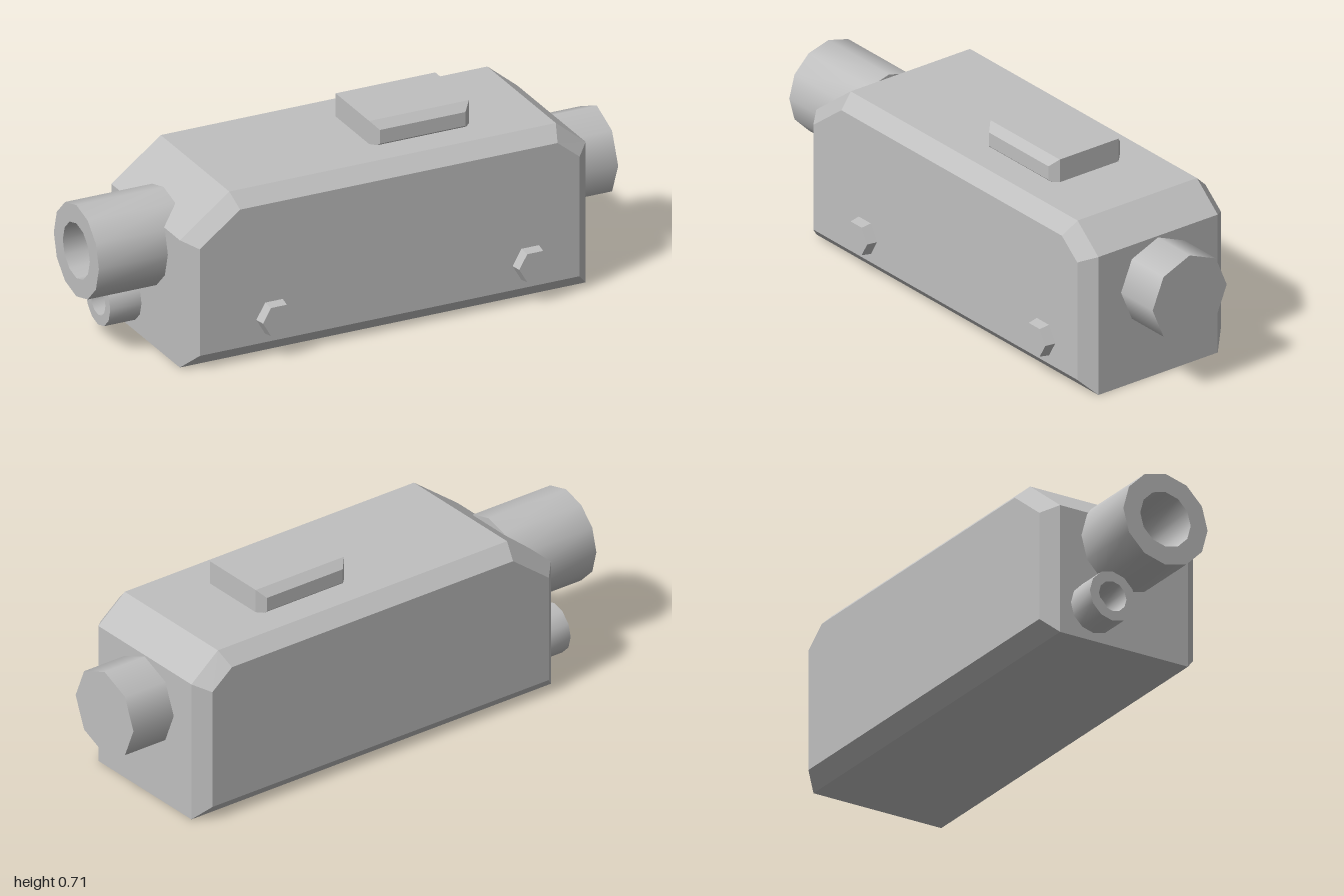
import * as THREE from 'three';
import { toCreasedNormals } from 'three/addons/utils/BufferGeometryUtils.js';

const grey = new THREE.MeshStandardMaterial({ color: 0xbfbfbf });
grey.name = 'plain grey';

// Convex block: two full-size rings along z, closed by a smaller ring at each end
function chamferedBlock(outer, inner, [z0, z1, z2, z3]) {
  const rings = [[inner, z0], [outer, z1], [outer, z2], [inner, z3]]
    .map(([pts, z]) => pts.map(([x, y]) => [x, y, z]));
  const n = outer.length;
  const pos = [];
  const tri = (a, b, c) => pos.push(...a, ...b, ...c);
  for (let r = 0; r < 3; r++) {
    const a = rings[r], b = rings[r + 1];
    for (let i = 0; i < n; i++) {
      const j = (i + 1) % n;
      tri(a[i], a[j], b[j]);
      tri(a[i], b[j], b[i]);
    }
  }
  for (let i = 1; i < n - 1; i++) {
    tri(rings[3][0], rings[3][i], rings[3][i + 1]);
    tri(rings[0][0], rings[0][i + 1], rings[0][i]);
  }
  const geo = new THREE.BufferGeometry();
  geo.setAttribute('position', new THREE.Float32BufferAttribute(pos, 3));
  geo.computeVertexNormals();
  return geo;
}

const rect = (x0, x1, y0, y1) => [[x0, y0], [x1, y0], [x1, y1], [x0, y1]];

// Hollow pipe running from xIn towards -x
function pipe(xIn, xEnd, y, z, radius, bore) {
  const L = xIn - xEnd;
  const profile = [[bore, L], [bore, 0], [radius, 0], [radius, L], [bore, L]]
    .map(([r, h]) => new THREE.Vector2(r, h));
  const geo = toCreasedNormals(new THREE.LatheGeometry(profile, 12), 1);
  return geo.rotateZ(Math.PI / 2).translate(xIn, y, z);
}

export function createModel() {
  const model = new THREE.Group();
  model.name = 'housing';
  const add = (name, geo) => {
    const mesh = new THREE.Mesh(geo, grey);
    mesh.name = name;
    model.add(mesh);
    return mesh;
  };

  // Main casing with sloped top ends and bevelled sides
  add('casing', chamferedBlock(
    [[-0.735, 0], [0.825, 0], [0.825, 0.53], [0.71, 0.625], [-0.545, 0.625], [-0.735, 0.48]],
    [[-0.685, 0.055], [0.775, 0.055], [0.775, 0.506], [0.69, 0.575], [-0.53, 0.575], [-0.685, 0.457]],
    [-0.333, -0.28, 0.242, 0.295]));

  // Raised pad on top, its lower bevel sunk into the casing
  add('topPad', chamferedBlock(
    rect(0.06, 0.443, 0.605, 0.712), rect(0.087, 0.416, 0.632, 0.684),
    [-0.175, -0.147, 0.109, 0.137]));

  // Hollow pipes at one end
  add('largePipe', pipe(-0.665, -1, 0.388, -0.021, 0.172, 0.103));
  add('smallPipe', pipe(-0.7, -0.855, 0.123, -0.143, 0.093, 0.056));

  // Solid stub at the other end
  add('endStub', new THREE.CylinderGeometry(0.162, 0.162, 0.2, 8)
    .rotateZ(Math.PI / 2).translate(0.9, 0.362, -0.019));

  // Tapered hexagonal bolt heads on the front
  for (const x of [-0.4, 0.585]) {
    const head = new THREE.CylinderGeometry(0.061, 0.068, 0.04, 6)
      .rotateY(Math.PI / 6).rotateX(Math.PI / 2).toNonIndexed();
    head.computeVertexNormals();
    add('boltHead', head.translate(x, 0.146, 0.313));
  }
  return model;
}
